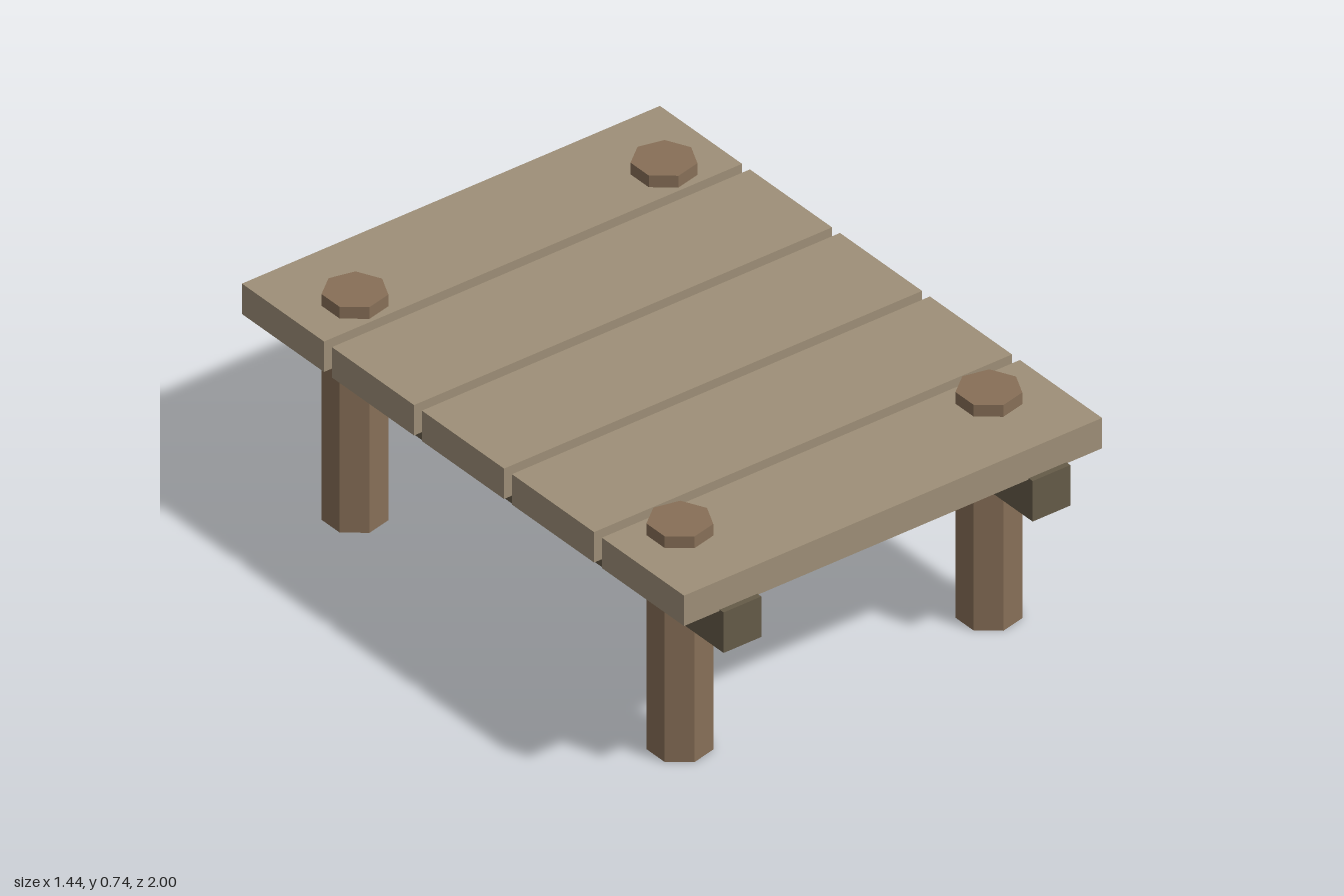
import * as THREE from 'three';

export function createModel() {
  const group = new THREE.Group();
  const material = (color) => new THREE.MeshStandardMaterial({ color, flatShading: true });
  const plankMat = material(0x9e8f78);
  const beamMat = material(0x655b48);
  const postMat = material(0x876f57);

  const add = (name, geometry, mat, x, y, z) => {
    const mesh = new THREE.Mesh(geometry, mat);
    mesh.name = name;
    mesh.position.set(x, y, z);
    group.add(mesh);
  };

  // Deck planks, laid across the beams with narrow gaps
  const plankGeo = new THREE.BoxGeometry(1.442, 0.099, 0.365);
  for (let i = -2; i <= 2; i++) add('plank', plankGeo, plankMat, 0, 0.6475, i * 0.4);

  // Two long beams, and seven-sided posts rising through the deck
  const beamGeo = new THREE.BoxGeometry(0.13, 0.132, 2);
  const postGeo = new THREE.CylinderGeometry(0.0935, 0.0935, 0.735, 7).rotateY(Math.PI / 2);
  for (const [side, x] of [['left', 0.533], ['right', -0.533]]) {
    add(side + 'Beam', beamGeo, beamMat, x, 0.536, 0);
    add(side + 'FrontPost', postGeo, postMat, x, 0.3675, 0.722);
    add(side + 'BackPost', postGeo, postMat, x, 0.3675, -0.722);
  }
  return group;
}
